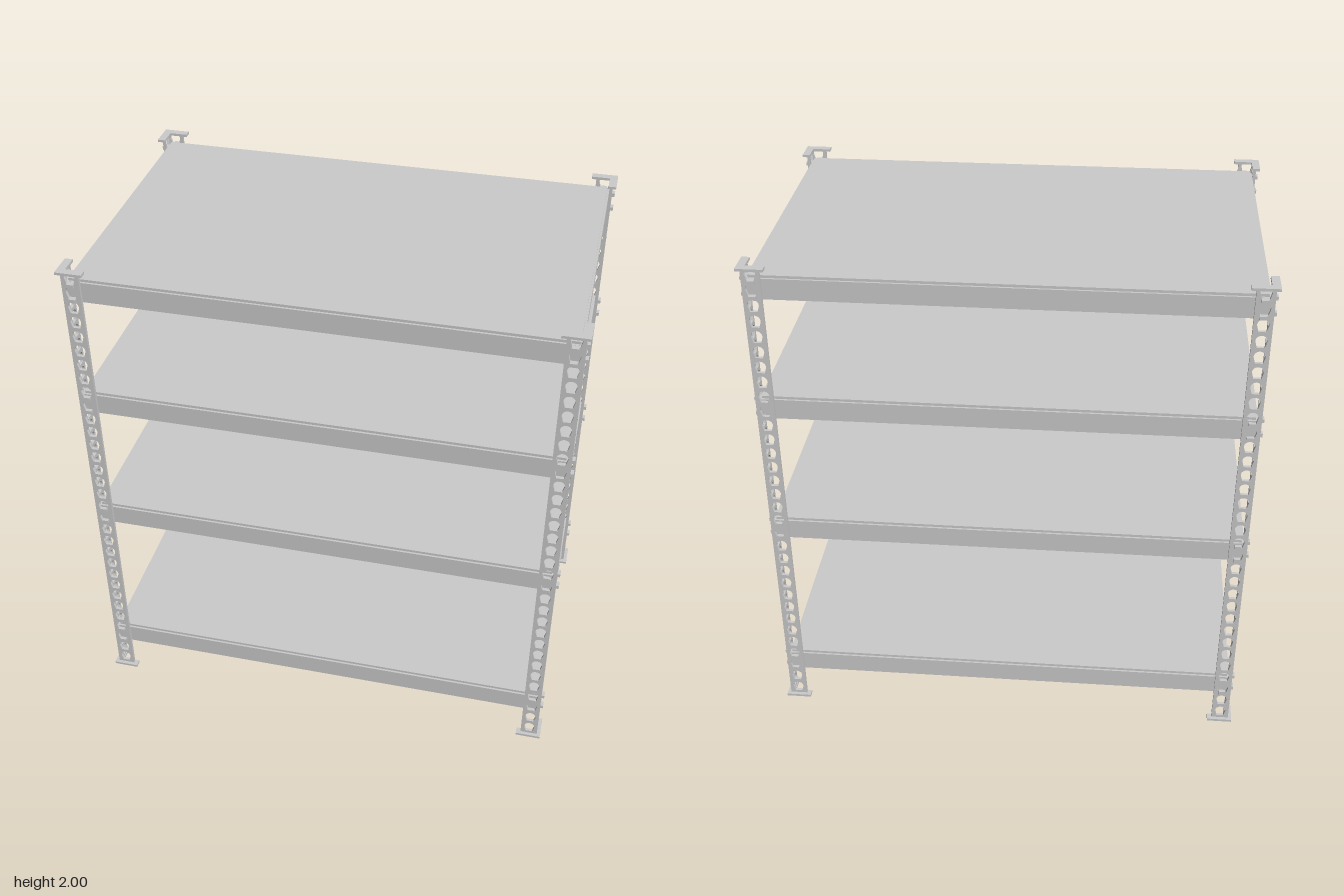
import * as THREE from 'three';

const H = 2, X = 0.923, Z = 0.578, T = 0.012; // rack height, outer half sizes, sheet thickness
const PITCH = 0.0623, FIRST = 0.045, HOLES = 32;
const SHELF_TOPS = [0.232, 0.918, 1.47, 1.963];

const grey = new THREE.MeshStandardMaterial({ color: 0xcccccc, flatShading: true });

function add(parent, name, geometry, x, y, z) {
  const mesh = new THREE.Mesh(geometry, grey);
  mesh.name = name;
  mesh.position.set(x, y, z);
  parent.add(mesh);
  return mesh;
}

const box = (w, h, d) => new THREE.BoxGeometry(w, h, d);

// Keyhole slot: round head narrowing to a flat-bottomed neck
function keyhole(y) {
  const hole = new THREE.Path();
  hole.moveTo(-0.014, y - 0.024);
  hole.lineTo(0.014, y - 0.024);
  hole.absarc(0, y + 0.003, 0.021, -0.45, Math.PI + 0.45, false);
  hole.closePath();
  return hole;
}

// Perforated upright strip, centred in width and thickness
function flangeGeometry(width) {
  const s = new THREE.Shape();
  s.moveTo(-width / 2, 0.004);
  s.lineTo(width / 2, 0.004);
  s.lineTo(width / 2, H - 0.004);
  s.lineTo(-width / 2, H - 0.004);
  s.closePath();
  for (let i = 0; i < HOLES; i++) s.holes.push(keyhole(FIRST + i * PITCH));
  const g = new THREE.ExtrudeGeometry(s, { depth: T, bevelEnabled: false, curveSegments: 7 });
  return g.translate(0, 0, -T / 2);
}

export function createModel() {
  const root = new THREE.Group();
  root.name = 'shelvingRack';

  const wide = flangeGeometry(0.068);
  const narrow = flangeGeometry(0.056).rotateY(Math.PI / 2);

  // Four angle posts with end plates and rivets
  for (const sx of [-1, 1]) for (const sz of [-1, 1]) {
    const post = new THREE.Group();
    post.name = `${sz > 0 ? 'front' : 'back'}${sx > 0 ? 'Left' : 'Right'}Post`;
    root.add(post);

    add(post, 'longSideFlange', wide, sx * (X - 0.034), 0, sz * (Z - T / 2));
    add(post, 'shortSideFlange', narrow, sx * (X - T / 2), 0, sz * (Z - T - 0.028));

    // L-shaped plates at foot and head
    for (const [name, y] of [['footPlate', 0.005], ['headPlate', H - 0.005]]) {
      add(post, name, box(0.1, 0.01, 0.03), sx * 0.887, y, sz * 0.577);
      add(post, name, box(0.03, 0.01, 0.07), sx * 0.922, y, sz * 0.527);
    }

    // Two rivets per shelf on each flange
    for (const top of SHELF_TOPS) for (const drop of [0.017, 0.078]) {
      add(post, 'rivet', box(0.025, 0.014, 0.014), sx * (X - 0.036), top - drop, sz * (Z + 0.004));
      add(post, 'rivet', box(0.014, 0.014, 0.025), sx * (X + 0.004), top - drop, sz * (Z - 0.036));
    }
  }

  // Shelves: beam-height tray with a slightly inset board on top
  SHELF_TOPS.forEach((top, i) => {
    const shelf = new THREE.Group();
    shelf.name = `shelf${i + 1}`;
    root.add(shelf);
    const w = 2 * (X - T), d = 2 * (Z - T);
    add(shelf, 'beamFrame', box(w, 0.08, d), 0, top - 0.05, 0);
    add(shelf, 'board', box(w - 0.016, 0.01, d - 0.016), 0, top - 0.005, 0);
  });

  return root;
}
